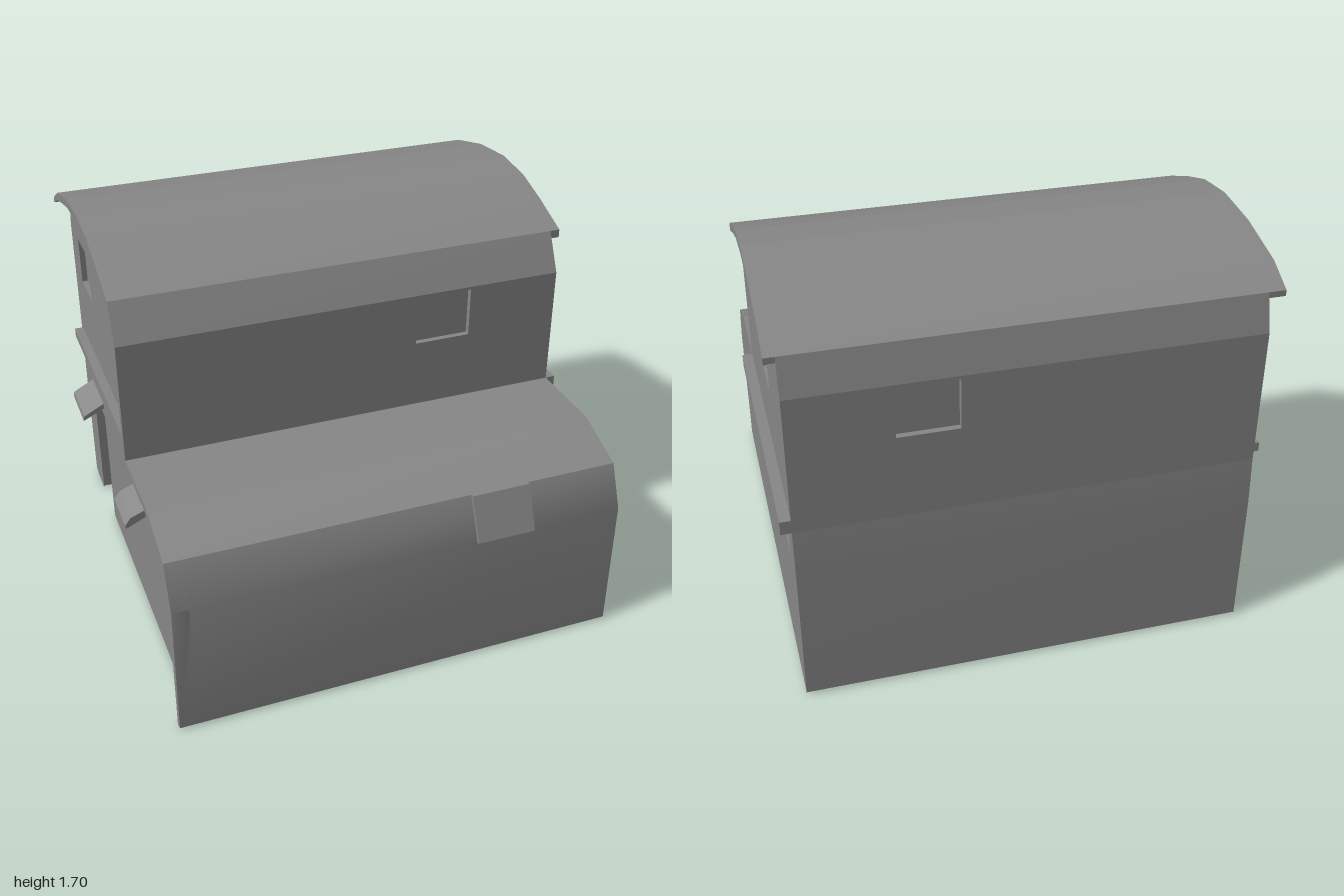
import * as THREE from 'three';

const COLOR = 0x888888;
const flat = new THREE.MeshStandardMaterial({ color: COLOR, flatShading: true, side: THREE.DoubleSide });
const smooth = new THREE.MeshStandardMaterial({ color: COLOR, side: THREE.DoubleSide });
const L = -0.97, WALL = -0.9, R = 0.955, EAVE = 0.998;

// Side profiles as [z, y]
const lowerFront = [[0.962, 0.012], [0.962, 0.6], [0.885, 0.78], [0.65, 0.867], [0.29, 0.867]];
const upperFront = [[0.29, 0.867], [0.29, 1.39], [0.21, 1.55]];
const arch = [[0.21, 1.55], [0.03, 1.62], [-0.135, 1.673], [-0.33, 1.695], [-0.56, 1.673], [-0.8, 1.613], [-0.925, 1.545]];
const back = [[-0.925, 1.545], [-0.965, 1.39], [-0.965, 0.81], [-0.977, 0.6], [-0.977, 0.012]];

export function createModel() {
  const model = new THREE.Group();
  const add = (name, geometry, material = flat) => {
    const mesh = new THREE.Mesh(geometry, material);
    mesh.name = name;
    model.add(mesh);
  };
  const path = (points) => new THREE.Shape(points.map(([a, b]) => new THREE.Vector2(a, b)));
  const rect = (a0, a1, b0, b1) => [[a0, b0], [a1, b0], [a1, b1], [a0, b1]];
  const flip = (points) => points.map(([z, y]) => [-z, y]);

  // Flat panel with rectangular holes
  const panel = (outline, holes) => {
    const shape = path(outline);
    shape.holes = holes.map((h) => path(h));
    return new THREE.ShapeGeometry(shape);
  };
  // Side profile stretched along x
  const prism = (profile, x0, x1) =>
    new THREE.ExtrudeGeometry(path(flip(profile)), { depth: x1 - x0, bevelEnabled: false })
      .rotateY(Math.PI / 2).translate(x0, 0, 0);
  // Thin skin following a side profile
  const skin = (profile, x0, x1) => {
    const pos = [], index = [];
    profile.forEach(([z, y], i) => {
      pos.push(x0, y, z, x1, y, z);
      const a = 2 * i;
      if (i) index.push(a - 2, a - 1, a + 1, a - 2, a + 1, a);
    });
    const g = new THREE.BufferGeometry();
    g.setAttribute('position', new THREE.Float32BufferAttribute(pos, 3));
    g.setIndex(index);
    g.computeVertexNormals();
    return g;
  };
  // Box open at its outer face, and at its floor if floor is false; facing is the turn about y
  const recess = (name, w, h, depth, x, y, z, facing, floor = true) => {
    const g = new THREE.BoxGeometry(w, h, depth);
    const index = Array.from(g.index.array);
    index.splice(floor ? 24 : 18, floor ? 6 : 12);
    g.setIndex(index);
    g.clearGroups();
    add(name, g.translate(0, 0, -depth / 2).rotateY(facing).translate(x, y, z));
  };
  const box = (name, x0, x1, y0, y1, z0, z1) =>
    add(name, new THREE.BoxGeometry(x1 - x0, y1 - y0, z1 - z0)
      .translate((x0 + x1) / 2, (y0 + y1) / 2, (z0 + z1) / 2));

  // Front skins, upper front wall with its window, and back wall
  add('lowerFrontWall', skin(lowerFront.slice(0, 3), L, R), smooth);
  add('lowerRoof', skin(lowerFront.slice(2), L, R));
  const frontWindow = rect(0.305, 0.55, 1.165, 1.378);
  add('upperFrontWall', panel(rect(L, R, 0.867, 1.39), [frontWindow]).translate(0, 0, 0.29));
  add('upperFrontSlope', skin(upperFront.slice(1), L, R));
  add('backWallTop', skin(back.slice(0, 2), WALL, R));
  add('upperBackWall', panel(rect(WALL, R, 0.81, 1.39), [frontWindow]).translate(0, 0, -0.965));
  add('lowerBackWall', skin(back.slice(2), WALL, R), smooth);
  recess('frontWindow', 0.245, 0.213, 0.025, 0.4275, 1.2715, 0.29, 0);
  recess('backWindow', 0.245, 0.213, 0.025, 0.4275, 1.2715, -0.965, Math.PI);

  // Gable walls, the left one with a notch for the door
  const outline = [...lowerFront, ...upperFront.slice(1), ...arch.slice(1), ...back.slice(1)];
  const rightHoles = [rect(-0.535, -0.33, 1.165, 1.378), rect(-0.81, -0.55, 0.6, 0.808)];
  add('rightWall', panel(flip(outline), rightHoles.map(flip)).rotateY(Math.PI / 2).translate(R, 0, 0));
  const leftOutline = [[0.935, 0], ...outline, [-0.93, 0],
    [-0.8, 0], [-0.8, 0.57], [-0.55, 0.57], [-0.55, 0]];
  const leftHoles = [rect(-0.8, -0.585, 1.165, 1.378), rect(0.04, 0.25, 0.55, 0.8)];
  add('leftWall', panel(flip(leftOutline), leftHoles.map(flip)).rotateY(Math.PI / 2).translate(WALL, 0, 0));
  const q = Math.PI / 2;
  recess('rightUpperWindow', 0.205, 0.213, 0.025, R, 1.2715, -0.4325, q);
  recess('rightLowerWindow', 0.26, 0.208, 0.035, R, 0.704, -0.68, q);
  recess('leftUpperWindow', 0.215, 0.213, 0.025, WALL, 1.2715, -0.6925, -q);
  recess('leftHatchOpening', 0.21, 0.25, 0.05, WALL, 0.675, 0.145, -q);
  recess('doorway', 0.25, 0.558, 0.07, WALL, 0.291, -0.675, -q, false);

  // Arched roof shell overhanging both gables
  const under = arch.map(([z, y]) => [z, y - 0.035]).reverse();
  under[0][1] = 1.52;
  add('archedRoof', prism([...arch, ...under], L, EAVE));

  // Projecting rims on the left side
  add('lowerRim', prism([[0.935, 0], ...lowerFront, [0.29, 0.832], [0.645, 0.832],
    [0.86, 0.752], [0.925, 0.595], [0.925, 0]], L, WALL));
  add('upperRim', prism([...upperFront, [0.19, 1.52], [0.255, 1.385], [0.255, 0.867]], L, WALL));

  // Ledges between the storeys
  box('rightLedge', R, EAVE, 0.81, 0.867, -0.965, 0.29);
  box('leftLedge', -0.94, WALL, 0.82, 0.86, -0.93, 0.29);

  // Door awning and hatch flaps
  const slab = (name, section, z0, z1) =>
    add(name, new THREE.ExtrudeGeometry(path(section), { depth: z1 - z0, bevelEnabled: false }).translate(0, 0, z0));
  slab('doorAwning', [[WALL, 0.615], [-1, 0.567], [-0.995, 0.59], [WALL, 0.64]], -0.8, -0.555);
  slab('leftHatchFlap', [[WALL, 0.54], [-0.985, 0.5], [-0.99, 0.515], [-0.965, 0.55], [WALL, 0.575]], 0.04, 0.25);
  add('frontHatch', prism([[0.885, 0.78], [0.9, 0.782], [0.977, 0.6], [0.957, 0.595]], 0.3, 0.555));

  return model;
}
